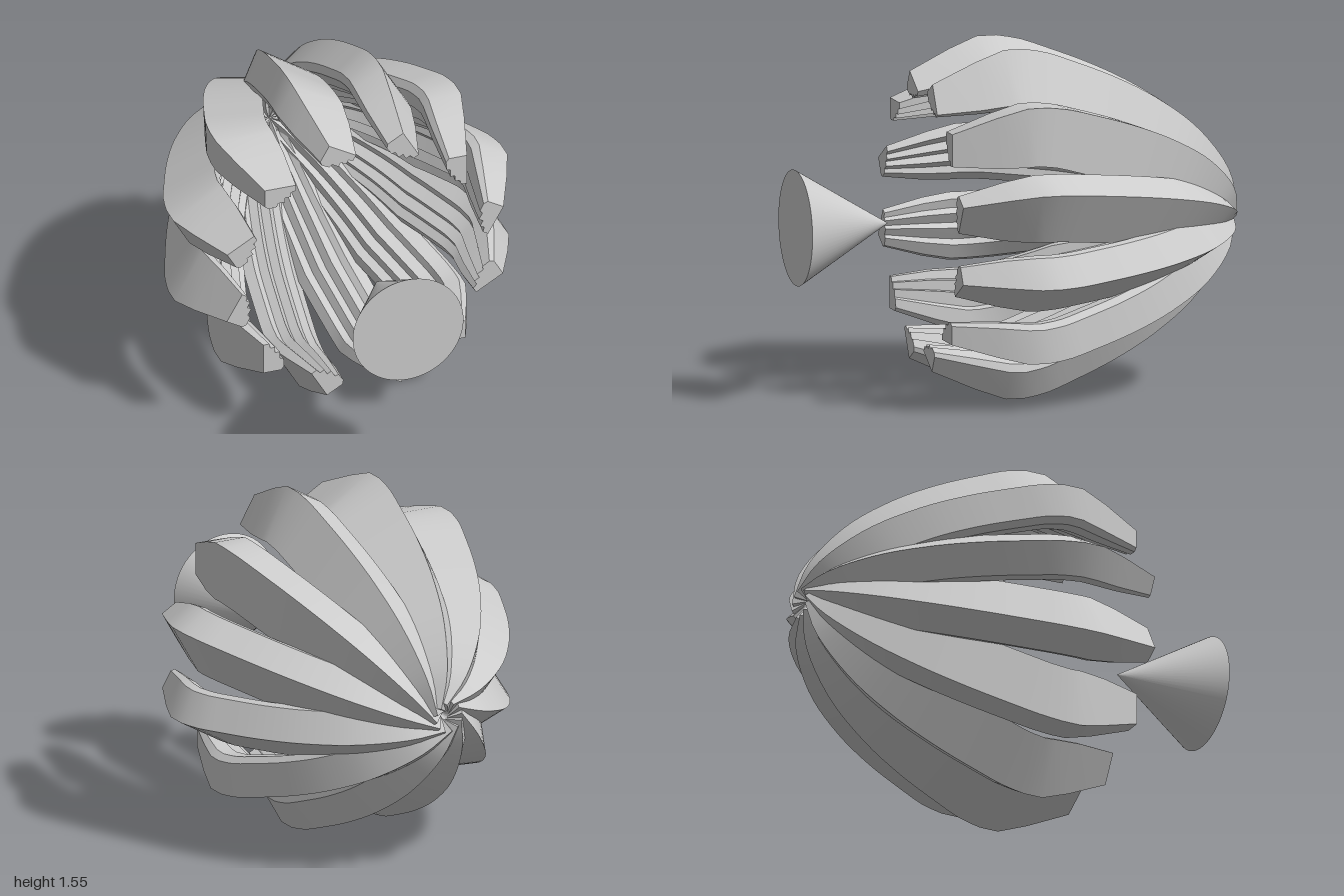
import * as THREE from 'three';
import { toCreasedNormals } from 'three/addons/utils/BufferGeometryUtils.js';

const BLADES = 12, AXIS_Y = 0.775, ROLL = 0.87;

// Blade cross-section: u runs along the outer face, v along the side wall;
// the inner side is stepped into ribs.
const SECTION = [
  [0, 0], [0.15, 0], [0.175, 0.03], [0.17, 0.1], [0.14, 0.11], [0.14, 0.17],
  [0.1, 0.17], [0.1, 0.22], [0.06, 0.22], [0.05, 0.26], [0, 0.26],
].map(([u, v]) => new THREE.Vector2(u, v));

// Dome profile followed by the outer corner of a blade: x = radius, y = depth z
const PROFILE = new THREE.CatmullRomCurve3([
  [0.03, -0.99], [0.18, -0.95], [0.38, -0.8], [0.535, -0.6],
  [0.645, -0.4], [0.73, -0.2], [0.775, -0.08], [0.795, 0.02],
].map(([s, z]) => new THREE.Vector3(s, z, 0)));

// Stations along the blade: position, outward normal, wall depth and tip scale
function stations() {
  const list = [], steps = 24;
  for (let i = 0; i <= steps; i++) {
    const t = i / steps;
    const p = PROFILE.getPointAt(t), d = PROFILE.getTangentAt(t);
    list.push({ s: p.x, z: p.y, ns: d.y, nz: -d.x, depth: 0.45 + 0.55 * Math.min(1, t * 1.5), scale: 1 });
  }
  for (const [s, z, scale] of [[0.795, 0.11, 1], [0.765, 0.24, 0.86], [0.72, 0.43, 0.55]]) {
    list.push({ s, z, ns: 1, nz: 0, depth: 1, scale });
  }
  return list;
}

function bladeGeometry() {
  const pos = [], index = [], n = SECTION.length, list = stations();
  const c = Math.cos(ROLL), k = Math.sin(ROLL);
  for (const { s, z, ns, nz, depth, scale } of list) {
    for (const p of SECTION) {
      const u = 0.08 + (p.x - 0.08) * scale;
      const v = (0.12 + (p.y - 0.12) * scale) * depth;
      const out = -c * u - k * v;              // along the outward normal
      const side = 0.055 - k * u + c * v;      // across the blade
      pos.push(s + ns * out, -side, z + nz * out);
    }
  }
  for (let i = 0; i < list.length - 1; i++) {
    for (let j = 0; j < n; j++) {
      const a = i * n + j, b = i * n + (j + 1) % n;
      index.push(a, b, b + n, a, b + n, a + n);
    }
  }
  // end caps
  const last = (list.length - 1) * n;
  for (const [a, b, d] of THREE.ShapeUtils.triangulateShape(SECTION, [])) {
    index.push(a, d, b, last + a, last + b, last + d);
  }
  const geo = new THREE.BufferGeometry();
  geo.setAttribute('position', new THREE.Float32BufferAttribute(pos, 3));
  geo.setIndex(index);
  return toCreasedNormals(geo, 0.4);
}

export function createModel() {
  const model = new THREE.Group();
  model.name = 'bladedDomeWithCone';
  const material = new THREE.MeshStandardMaterial({ color: 0xcccccc, side: THREE.DoubleSide });

  // Ring of curved blades meeting at the rear pole
  const ring = new THREE.Group();
  ring.name = 'bladeRing';
  ring.position.y = AXIS_Y;
  const geo = bladeGeometry();
  for (let i = 0; i < BLADES; i++) {
    const blade = new THREE.Mesh(geo, material);
    blade.name = 'blade';
    blade.rotation.z = THREE.MathUtils.degToRad(20 + i * 360 / BLADES);
    ring.add(blade);
  }
  model.add(ring);

  // Free-standing cone in front, pointing into the dome
  const cone = new THREE.Mesh(new THREE.ConeGeometry(0.255, 0.42, 64), material);
  cone.name = 'frontCone';
  cone.rotation.x = -Math.PI / 2;
  cone.position.set(0, AXIS_Y, 0.79);
  model.add(cone);
  return model;
}
